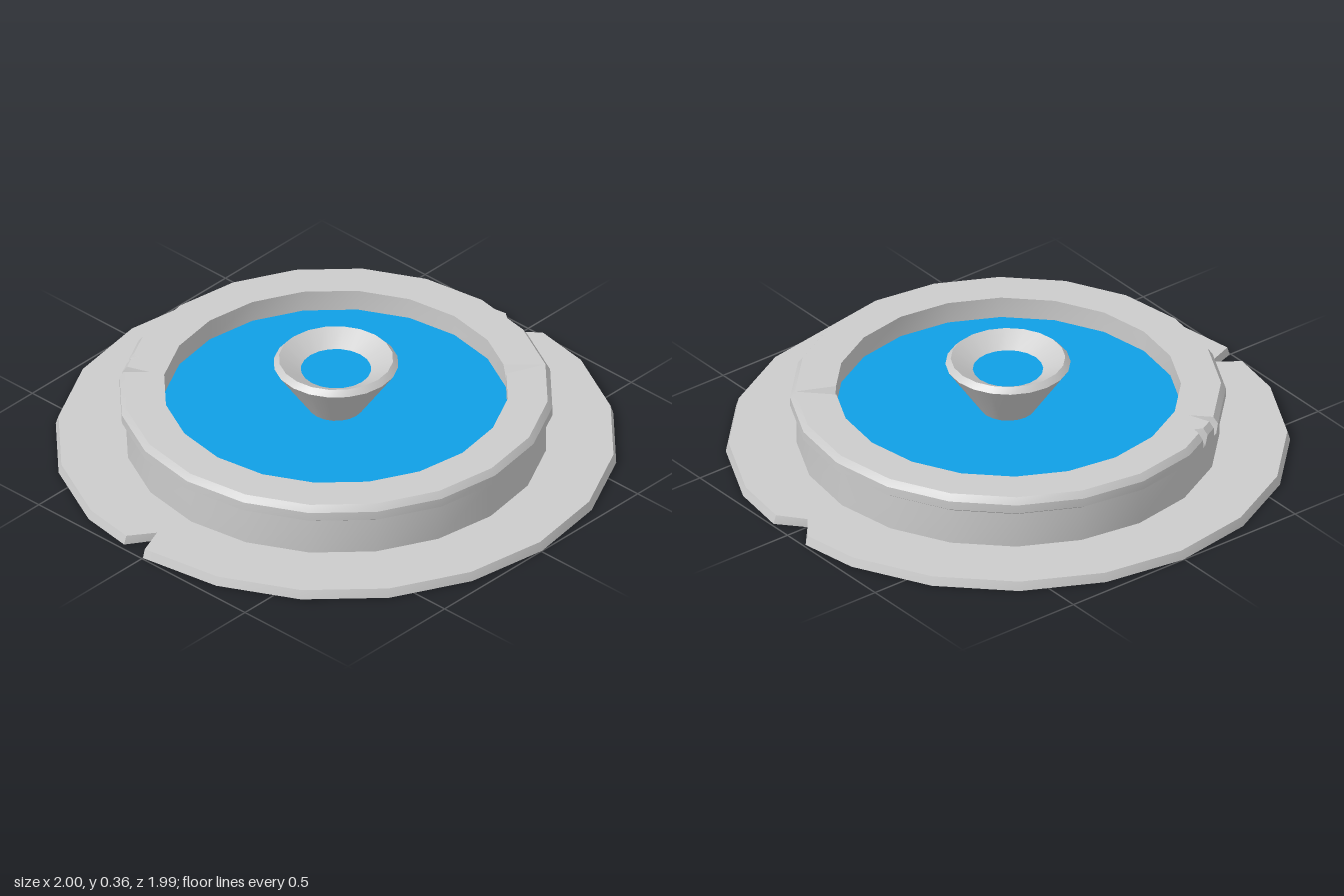
import * as THREE from 'three';
import { toCreasedNormals } from 'three/addons/utils/BufferGeometryUtils.js';

const SIDES = 20;
const STEP = 360 / SIDES;
const rad = THREE.MathUtils.degToRad;

const stone = new THREE.MeshStandardMaterial({ color: 0xcccccc, side: THREE.DoubleSide });
const water = new THREE.MeshStandardMaterial({ color: 0x109fe6, side: THREE.DoubleSide });

// Regular polygon corners plus extra angles where the stone is broken
function angleList(extra = []) {
  const list = [...extra];
  for (let i = 0; i < SIDES; i++) list.push(i * STEP);
  return list.sort((a, b) => a - b);
}

// Radius at an angle along the straight side of the polygon
function sideRadius(r, angle) {
  const offset = (angle % STEP) - STEP / 2;
  return r * Math.cos(rad(STEP / 2)) / Math.cos(rad(offset));
}

// One horizontal loop; breaks maps an angle to { r, y, at } replacing the regular point
function loop(angles, r, y, breaks = {}) {
  return angles.map((angle) => {
    const b = breaks[angle] ?? {};
    const a = b.at ?? angle;
    const radius = b.r ?? sideRadius(r, a);
    return new THREE.Vector3(radius * Math.cos(rad(a)), b.y ?? y, -radius * Math.sin(rad(a)));
  });
}

// Skin stacked loops, keeping hard edges sharp and the round smooth
function skin(name, loops) {
  const positions = [];
  const addTriangle = (a, b, c) => {
    if (new THREE.Triangle(a, b, c).getArea() < 1e-7) return;
    for (const p of [a, b, c]) positions.push(p.x, p.y, p.z);
  };
  for (let k = 0; k < loops.length - 1; k++) {
    const low = loops[k], high = loops[k + 1];
    for (let i = 0; i < low.length; i++) {
      const j = (i + 1) % low.length;
      addTriangle(low[i], low[j], high[j]);
      addTriangle(low[i], high[j], high[i]);
    }
  }
  const geometry = new THREE.BufferGeometry();
  geometry.setAttribute('position', new THREE.Float32BufferAttribute(positions, 3));
  const mesh = new THREE.Mesh(toCreasedNormals(geometry, rad(25)), stone);
  mesh.name = name;
  return mesh;
}

function waterSurface(name, inner, outer, y) {
  const geometry = inner > 0
    ? new THREE.RingGeometry(inner, outer, SIDES)
    : new THREE.CircleGeometry(outer, SIDES);
  const mesh = new THREE.Mesh(geometry.rotateX(-Math.PI / 2), water);
  mesh.position.y = y;
  mesh.name = name;
  return mesh;
}

export function createModel() {
  const group = new THREE.Group();
  group.name = 'fountain';

  // Paved base: thin open ring with a notch at the back and one at the front
  const baseAngles = angleList([84.7, 95.3, 263.8, 267.4]);
  const notches = { 90: { r: 0.905 }, 267.4: { r: 0.885 } };
  group.add(skin('base', [
    loop(baseAngles, 1, 0, notches),
    loop(baseAngles, 0.99, 0.033, notches),
    loop(baseAngles, 0.75, 0.033),
  ]));

  // Basin: wall, overhanging rim, inner wall; a crack behind and two chips in front
  const basinAngles = angleList([51, 56.5, 206.5, 208, 209.5, 213.4, 215, 218]);
  const bandChips = { 208: { r: 0.74 }, 215: { r: 0.715 } };
  const topBreaks = {
    208: { r: 0.72 }, 215: { r: 0.67 },
    51: { at: 54 }, 56.5: { at: 54 },
  };
  group.add(skin('basin', [
    loop(basinAngles, 0.75, 0.033),
    loop(basinAngles, 0.75, 0.168),
    loop(basinAngles, 0.772, 0.183),
    loop(basinAngles, 0.772, 0.216, bandChips),
    loop(basinAngles, 0.755, 0.24, topBreaks),
    loop(basinAngles, 0.613, 0.24, { 54: { r: 0.613, y: 0.195 } }),
    loop(basinAngles, 0.613, 0.16),
  ]));

  // Central bowl: flared open stem, bevelled lip and sloping inside
  const round = angleList();
  const bowlProfile = [[0.098, 0.16], [0.222, 0.342], [0.203, 0.362], [0.125, 0.317]];
  group.add(skin('bowl', bowlProfile.map(([r, y]) => loop(round, r, y))));

  group.add(waterSurface('basinWater', 0.098, 0.613, 0.16));
  group.add(waterSurface('bowlWater', 0, 0.125, 0.317));

  // The broken edge shifts the bounds slightly
  for (const part of group.children) part.position.z = -0.005;
  return group;
}
